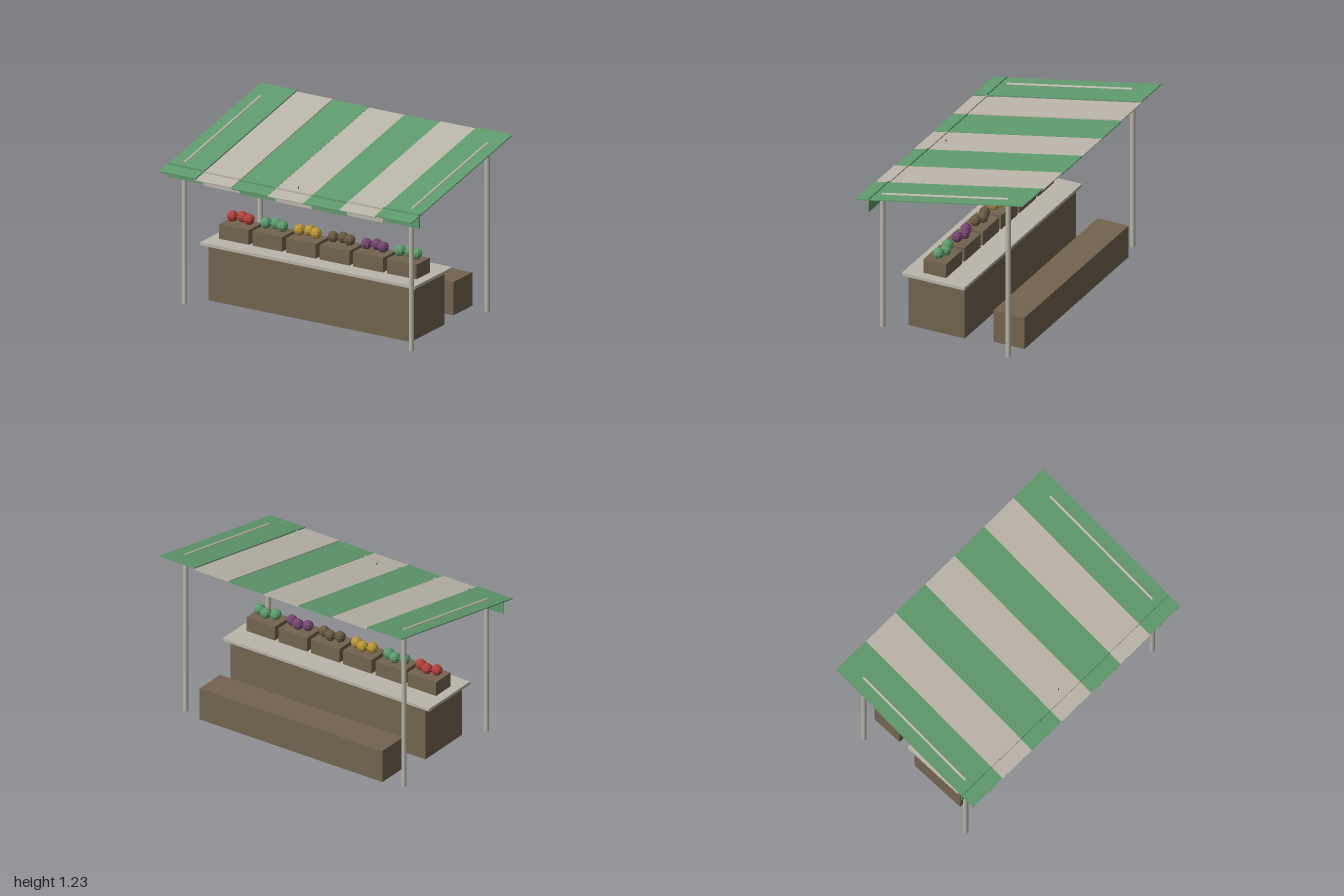
import * as THREE from 'three';

const mat = (name, color, flatShading = false) => {
  const m = new THREE.MeshStandardMaterial({ color, flatShading });
  m.name = name;
  return m;
};

export function createModel() {
  const group = new THREE.Group();
  const wood = mat('wood', 0x73644f);
  const pale = mat('pale grey', 0xbbb6ab);
  const green = mat('awning green', 0x609a6d);
  const cream = mat('awning cream', 0xbbb5a9);
  const dark = mat('dark cord', 0x3a3632);
  const red = mat('red produce', 0xb2413b, true);
  const leaf = mat('green produce', 0x5c9c6c, true);
  const yellow = mat('yellow produce', 0xbb9538, true);
  const brown = mat('brown produce', 0x6a5843, true);
  const purple = mat('purple produce', 0x744570, true);

  const add = (name, geometry, material, x, y, z) => {
    const mesh = new THREE.Mesh(geometry, material);
    mesh.name = name;
    mesh.position.set(x, y, z);
    group.add(mesh);
    return mesh;
  };
  const box = (name, material, w, h, d, x, y, z) =>
    add(name, new THREE.BoxGeometry(w, h, d), material, x, y, z);

  // Counter, its worktop and the bench behind it
  box('counter', wood, 1.61, 0.39, 0.426, 0, 0.195, 0.12);
  box('worktop', pale, 1.706, 0.021, 0.474, 0, 0.4005, 0.122);
  box('bench', wood, 1.51, 0.237, 0.236, 0, 0.1185, -0.402);

  // Crates with three pieces of produce each
  const ball = new THREE.SphereGeometry(0.039, 8, 6);
  [red, leaf, yellow, brown, purple, leaf].forEach((material, i) => {
    const x = (i - 2.5) * 0.2665;
    box('crate', wood, 0.235, 0.104, 0.17, x, 0.463, 0.145);
    for (let k = -1; k <= 1; k++) {
      add('produce', ball, material, x + k * 0.066, 0.558, k === 0 ? 0.12 : 0.143);
    }
  });

  // Posts and the sloping side rails
  const slope = Math.atan(0.2008);
  for (const side of [-1, 1]) {
    for (const [z, h] of [[0.478, 0.992], [-0.475, 1.186]]) {
      add('post', new THREE.CylinderGeometry(0.018, 0.018, h, 12), pale, side * 0.902, h / 2, z);
    }
    const rail = add('sideRail', new THREE.CylinderGeometry(0.011, 0.011, 0.975, 10), pale,
      side * 0.902, 1.0965, 0);
    rail.rotation.x = Math.PI / 2 + slope;
  }

  // Striped awning, sagging towards the middle, with a valance below each stripe
  const sags = [0.018, 0.016, 0.01, 0];
  const width = 2 / 7;
  for (let i = -3; i <= 3; i++) {
    const sag = sags[Math.abs(i)];
    const material = i % 2 ? green : cream;
    const panel = box('awningStripe', material, width, 0.007, 1.304, i * width, 1.0955 - sag, 0);
    panel.rotation.x = slope;
    box('valance', material, width, 0.102, 0.008, i * width, 0.951 - sag, 0.533);
  }

  // Small cord under the middle of the awning
  add('cord', new THREE.CylinderGeometry(0.004, 0.004, 0.08, 6), dark, 0, 0.957, 0.472);

  return group;
}
